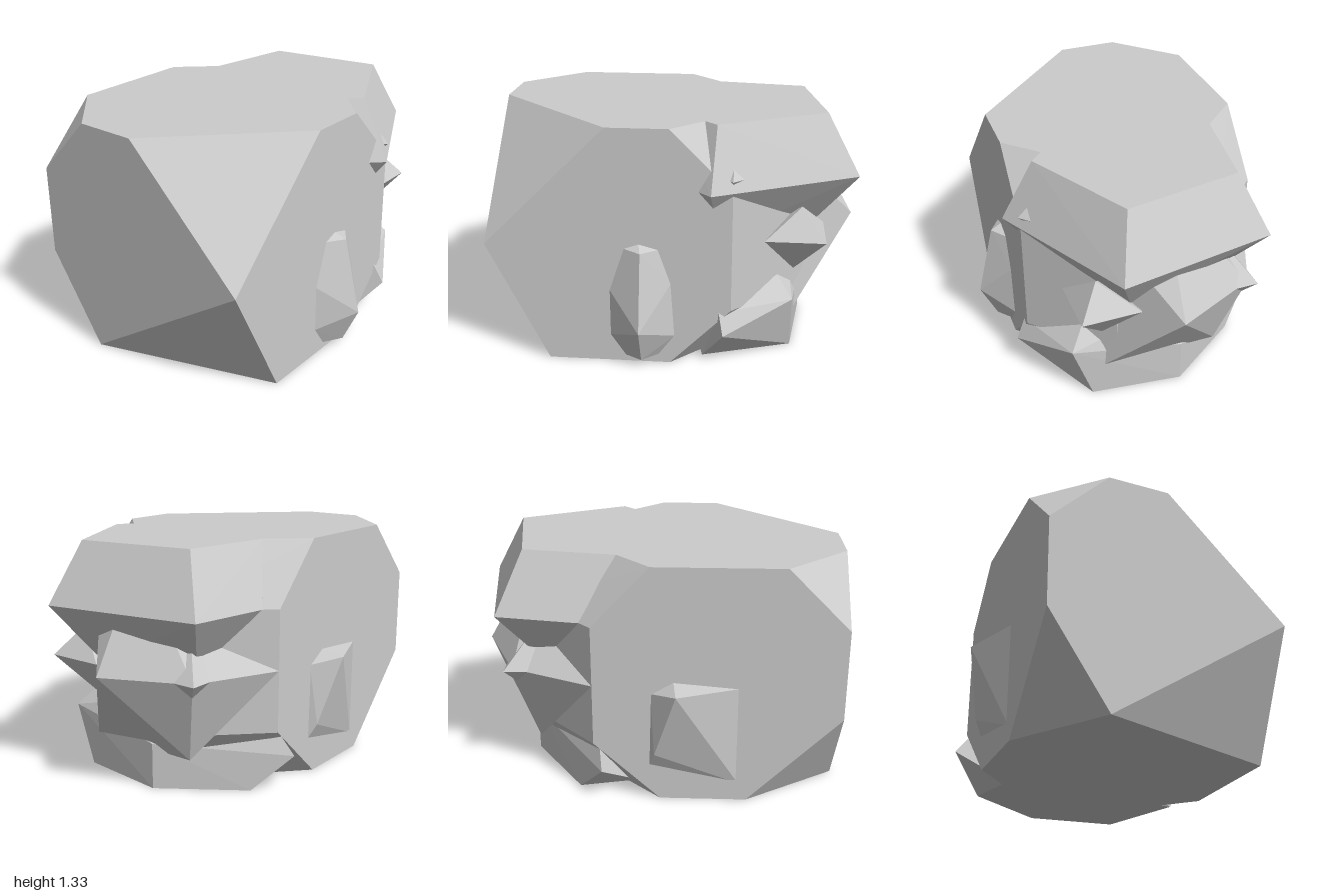
import * as THREE from 'three';
import { ConvexGeometry } from 'three/addons/geometries/ConvexGeometry.js';

const MID = -0.02; // plane of symmetry in z
const material = new THREE.MeshStandardMaterial({ color: 0xcccccc, flatShading: true });

// Faceted solid stretched around a few corner points
function facet(name, corners) {
  const points = corners.map((c) => new THREE.Vector3(...c));
  const mesh = new THREE.Mesh(new ConvexGeometry(points), material);
  mesh.name = name;
  return mesh;
}

export function createModel() {
  const head = new THREE.Group();
  head.name = 'head';

  // Skull: block with all its corners cut, the face towards +x
  head.add(facet('skull', [
    [-1, 0.67, 0.645], [-0.33, 1.33, 0.645], [0, 1.33, 0.645], [0.33, 1, 0.645],
    [0.33, 0.33, 0.645], [0, 0, 0.645], [-0.67, 0, 0.645],
    [-1, 1.33, -0.02], [-1, 1.33, -0.36], [-1, 1, -0.685], [-1, 0.5, -0.685], [-1, 0, -0.36],
    [-0.67, 1.33, -0.685], [0.02, 1.33, -0.685], [0.33, 1, -0.685],
    [0.33, 0.33, -0.685], [-0.03, 0, -0.685], [-0.5, 0, -0.685],
    [0.33, 1.33, 0.31], [0.33, 1.33, -0.35], [0.33, 0, 0.31], [0.33, 0, -0.35],
    [0.72, 1, 0.25], [0.72, 1, -0.29], [0.72, 0.33, 0.25], [0.72, 0.33, -0.29],
  ]));

  // Heavy overhanging brow
  head.add(facet('brow', [
    [0.24, 1.33, 0.54], [0.82, 1.33, 0.235], [0.71, 1.33, -0.405], [0.2, 1.33, -0.485],
    [0.22, 1, 0.715], [1, 1, 0.315], [0.85, 1, -0.55], [0.4, 1, -0.62],
    [0.25, 0.67, 0.45], [0.75, 0.67, 0.185], [0.62, 0.67, -0.37],
    [0, 1.33, 0.3], [0, 1, 0.49], [0, 1, -0.4],
  ]));

  // Broad nose and the cheek running back from it
  head.add(facet('nose', [
    [1, 0.67, -0.02], [0.67, 0.2, 0.31], [0.67, 0.2, -0.36],
    [0.79, 0.67, -0.48], [0.33, 0.67, -0.685],
    [0.67, 1.25, -0.02], [0.64, 1.1, 0.28], [0.4, 0.67, 0.2],
  ]));

  // Jaw
  head.add(facet('jaw', [
    [0.29, 0.2, 0.7], [0.66, 0.335, 0.485], [0.66, 0, 0.37], [0.575, 0.445, 0.4],
    [0.265, 0.315, 0.645], [0.17, 0, 0.545], [0.65, 0.375, 0.32],
    [0.72, 0, -0.14], [0.72, 0.255, -0.14], [0.42, 0, -0.575],
    [0.28, 0.2, -0.76], [0.3, 0.33, -0.66], [0.1, 0, -0.5], [0.1, 0.1, 0.3],
  ]));

  // Eyes: square double pyramids, mirrored
  for (const [name, s] of [['leftEye', 1], ['rightEye', -1]]) {
    const z = (d) => MID + s * d;
    head.add(facet(name, [
      [0.5, 0.67, z(0.17)], [0.83, 0.67, z(0.17)], [0.83, 0.67, z(0.5)], [0.5, 0.67, z(0.5)],
      [0.7, 0.835, z(0.38)], [0.665, 0.45, z(0.335)],
    ]));
  }

  // Ear with an upright ridge
  head.add(facet('leftEar', [
    [-0.15, 0.67, 0.71], [-0.15, 0.25, 0.81], [-0.15, 0.045, 0.715],
    [-0.25, 0.67, 0.64], [-0.165, 0.7, 0.64], [-0.055, 0.67, 0.64], [0.01, 0.48, 0.64],
    [0.03, 0.165, 0.64], [-0.055, 0.05, 0.64], [-0.25, 0.035, 0.64],
    [-0.33, 0.155, 0.64], [-0.33, 0.43, 0.64],
  ]));

  // Pointed ear
  head.add(facet('rightEar', [
    [-0.115, 0.67, -0.81], [-0.455, 0.67, -0.68], [-0.455, 0.1, -0.68],
    [-0.1, 0.7, -0.68], [0.02, 0.63, -0.68], [0.03, 0.2, -0.68], [0, 0.29, -0.725],
  ]));

  // Small point at the temple
  const temple = new THREE.Mesh(new THREE.OctahedronGeometry(0.055), material);
  temple.name = 'templePoint';
  temple.position.set(0.33, 1.06, 0.6);
  head.add(temple);

  return head;
}
